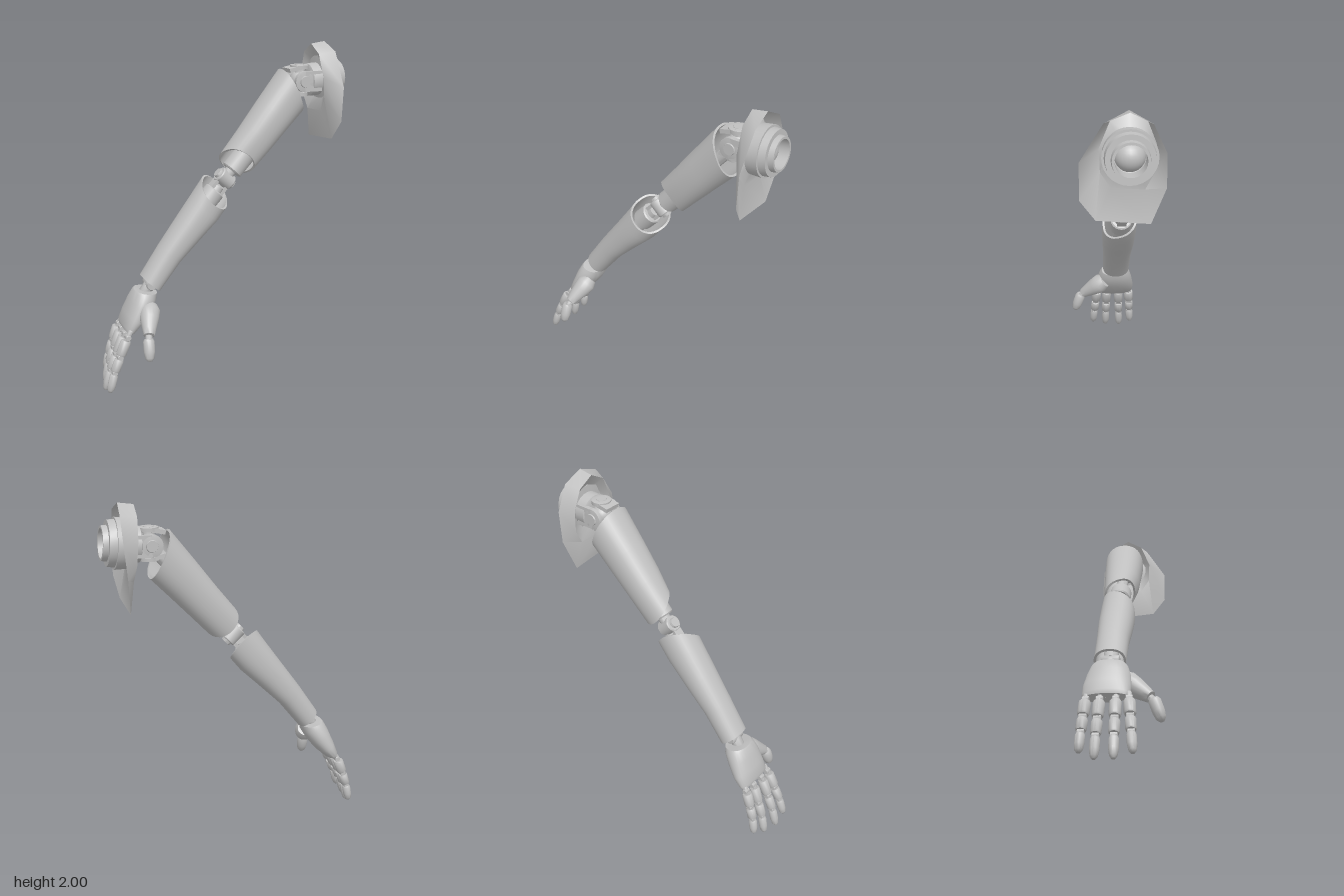
import * as THREE from 'three';
import { toCreasedNormals } from 'three/addons/utils/BufferGeometryUtils.js';

const V = (x, y, z) => new THREE.Vector3(x, y, z);
const Z = V(0, 0, 1);

export function createModel() {
  const grey = new THREE.MeshStandardMaterial({ color: 0xc0c0c0, side: THREE.DoubleSide });
  grey.name = 'lightGrey';
  const root = new THREE.Group();
  root.name = 'mechanicalArm';

  function add(name, geo, parent = root) {
    const mesh = new THREE.Mesh(geo, grey);
    mesh.name = name;
    parent.add(mesh);
    return mesh;
  }
  function group(name) {
    const g = new THREE.Group();
    g.name = name;
    root.add(g);
    return g;
  }

  // Turned part from A to B; profile is [radius, fraction of length]
  function turned(name, A, B, profile, parent, sides = 20) {
    const len = A.distanceTo(B);
    const pts = profile.map(([r, t]) => new THREE.Vector2(r, t * len));
    const mesh = add(name, toCreasedNormals(new THREE.LatheGeometry(pts, sides), 0.7), parent);
    mesh.position.copy(A);
    mesh.quaternion.setFromUnitVectors(V(0, 1, 0), B.clone().sub(A).normalize());
    return mesh;
  }
  const rod = (name, A, B, r, parent) =>
    turned(name, A, B, [[0, 0], [r * 0.88, 0], [r, 0.06], [r, 0.94], [r * 0.88, 1], [0, 1]], parent);
  const pin = (name, C, axis, r, len, parent) =>
    rod(name, C.clone().addScaledVector(axis, -len / 2), C.clone().addScaledVector(axis, len / 2), r, parent);

  // Surface through closed loops of points
  function loft(rings, wrap, crease) {
    const n = rings[0].length, index = [];
    const rows = wrap ? rings.length : rings.length - 1;
    for (let i = 0; i < rows; i++) for (let j = 0; j < n; j++) {
      const k = (i + 1) % rings.length, l = (j + 1) % n;
      const a = i * n + j, b = i * n + l, c = k * n + j, d = k * n + l;
      index.push(a, b, c, b, d, c);
    }
    const geo = new THREE.BufferGeometry().setFromPoints(rings.flat());
    geo.setIndex(index);
    return toCreasedNormals(geo, crease);
  }

  // Oval section: centre, half thickness a, half width b along z,
  // end slant k toward +z and m toward the outer side
  function section(d, [x, y, z, a, b, k = 0, m = 0], inset = 0, sides = 32) {
    const n = V(-d.y, d.x, 0);
    return Array.from({ length: sides }, (_, j) => {
      const t = j / sides * Math.PI * 2, c = Math.cos(t), s = Math.sin(t);
      const e = Math.pow(Math.abs(c) ** 2.3 + Math.abs(s) ** 2.3, -1 / 2.3);
      return V(x, y, z).addScaledVector(n, c * e * (a - inset))
        .addScaledVector(Z, s * e * (b - inset)).addScaledVector(d, k * s + m * c);
    });
  }
  function shell(name, d, stations) {
    const outer = stations.map(s => section(d, s));
    const inner = stations.map(s => section(d, s, 0.012)).reverse();
    return add(name, loft([...outer, ...inner], true, 0.7));
  }

  const d = V(0.68, 0.73, 0).normalize();
  const n = V(-d.y, d.x, 0);

  // Arm shells, cut back toward the front at the elbow
  shell('upperArmShell', d, [
    [0.108, 1.312, -0.063, 0.105, 0.092, 0.065],
    [0.22, 1.44, -0.062, 0.112, 0.109, 0.025],
    [0.33, 1.57, -0.067, 0.122, 0.118, 0, 0.02],
    [0.455, 1.715, -0.07, 0.133, 0.126, 0, 0.055],
  ]);
  shell('forearmShell', d, [
    [-0.455, 0.625, -0.053, 0.072, 0.086],
    [-0.33, 0.795, -0.053, 0.08, 0.089],
    [-0.2, 0.945, -0.053, 0.096, 0.099],
    [-0.1, 1.06, -0.053, 0.11, 0.102, -0.03],
    [-0.04, 1.14, -0.053, 0.113, 0.1, -0.065],
  ]);

  // Elbow hinge and inner rods
  const elbow = V(0.03, 1.215, -0.062), shoulder = V(0.51, 1.775, -0.065), wrist = V(-0.455, 0.625, -0.05);
  const elbowGroup = group('elbowJoint');
  pin('elbowBarrel', elbow, n, 0.048, 0.1, elbowGroup);
  pin('elbowPin', elbow, n, 0.03, 0.13, elbowGroup);
  for (const s of [-1, 1]) {
    const fork = add('elbowFork', new THREE.BoxGeometry(0.02, 0.12, 0.055), elbowGroup);
    fork.position.copy(elbow).addScaledVector(n, s * 0.036).addScaledVector(d, -0.06);
    fork.rotation.z = Math.atan2(d.y, d.x) - Math.PI / 2;
  }
  rod('upperArmRod', elbow, shoulder, 0.036);
  rod('upperArmSocket', elbow.clone().addScaledVector(d, 0.06), elbow.clone().addScaledVector(d, 0.2), 0.066);
  rod('forearmRod', wrist, elbow.clone().addScaledVector(d, -0.06), 0.04);
  rod('forearmSocket', elbow.clone().addScaledVector(d, -0.2), elbow.clone().addScaledVector(d, -0.09), 0.064);

  // Shoulder universal joint
  const joint = group('shoulderJoint');
  add('jointBall', new THREE.SphereGeometry(0.058, 24, 16), joint).position.copy(shoulder);
  pin('crossPin', shoulder, Z, 0.036, 0.19, joint);
  pin('uprightPin', shoulder, V(0, 1, 0), 0.032, 0.19, joint);
  for (const s of [-1, 1]) {
    const C = shoulder.clone().addScaledVector(Z, s * 0.075);
    pin('forkEye', C, Z, 0.062, 0.026, joint);
    add('forkCheek', new THREE.BoxGeometry(0.11, 0.12, 0.026), joint).position.copy(C).add(V(0.055, 0, 0));
    const U = shoulder.clone().add(V(0, s * 0.08, 0));
    pin('yokeEye', U, V(0, 1, 0), 0.056, 0.024, joint);
    const bar = add('yokeBar', new THREE.BoxGeometry(0.09, 0.024, 0.1), joint);
    bar.position.copy(U).add(V(-0.04, s > 0 ? -0.008 : 0.01, 0));
    bar.rotation.z = s * 0.2;
  }
  rod('forkBase', V(0.56, 1.775, -0.065), V(0.66, 1.78, -0.065), 0.098, joint);

  // Stepped hollow shoulder collar
  const collar = group('shoulderCollar');
  turned('collarTube', V(0, 0, 0), V(1, 0, 0), [
    [0.05, -0.06], [0.135, -0.05], [0.14, 0.02], [0.128, 0.02], [0.124, 0.06],
    [0.097, 0.06], [0.093, 0.09], [0.08, 0.09], [0.08, 0], [0, -0.03]], collar, 28);
  add('collarDome', new THREE.SphereGeometry(0.079, 24, 16), collar).position.x = -0.02;
  collar.position.set(0.68, 1.785, -0.058);
  collar.rotation.z = 0.07;

  // Flared shoulder plate, with a recessed throat around the collar
  const rim = [[0.67, 2, -0.058], [0.675, 1.95, 0.07], [0.672, 1.755, 0.19], [0.665, 1.555, 0.19],
    [0.648, 1.44, 0.11], [0.645, 1.415, -0.17], [0.665, 1.615, -0.243], [0.68, 1.8, -0.238], [0.68, 1.945, -0.17]];
  const hole = [[0.582, 1.988, -0.058], [0.585, 1.935, 0.035], [0.593, 1.8, 0.09], [0.604, 1.68, 0.085],
    [0.614, 1.6, 0.03], [0.614, 1.59, -0.14], [0.604, 1.68, -0.19], [0.593, 1.82, -0.195], [0.585, 1.935, -0.15]];
  const throat = hole.map(([, y, z]) => {
    const r = 0.11 / Math.hypot(y - 1.78, z + 0.058);
    return [0.64, 1.78 + (y - 1.78) * r, -0.058 + (z + 0.058) * r];
  });
  add('shoulderPlate', loft([rim, hole, throat].map(r => r.map(p => V(...p))), false, 0.75));

  // Wrist
  const wristGroup = group('wristJoint');
  pin('wristPin', wrist, Z, 0.034, 0.1, wristGroup);
  rod('wristRod', V(-0.5, 0.56, -0.05), V(-0.42, 0.665, -0.05), 0.036, wristGroup);

  // Palm, from knuckles up to wrist
  const p = V(0.59, 0.81, 0).normalize();
  add('palm', loft([
    [-0.618, 0.362, -0.052, 0.001, 0.001],
    [-0.618, 0.362, -0.052, 0.028, 0.112],
    [-0.608, 0.377, -0.052, 0.042, 0.122],
    [-0.571, 0.432, -0.052, 0.058, 0.124],
    [-0.53, 0.5, -0.048, 0.07, 0.116],
    [-0.495, 0.56, -0.048, 0.07, 0.1, 0, -0.015],
    [-0.487, 0.585, -0.048, 0.06, 0.087, 0, -0.03],
    [-0.487, 0.585, -0.048, 0.001, 0.001],
  ].map(s => section(p, s)), false, 0.8));

  // Thumb
  const thumb = group('thumb');
  turned('thumbBase', V(-0.48, 0.51, 0.015), V(-0.535, 0.385, 0.17),
    [[0, 0], [0.045, 0.02], [0.062, 0.2], [0.056, 0.45], [0.04, 0.8], [0.032, 0.97], [0, 1]], thumb);
  rod('thumbLink', V(-0.53, 0.4, 0.15), V(-0.546, 0.34, 0.2), 0.02, thumb);
  const tip = r => [[0, 0], [r * 0.8, 0], [r, 0.1], [r, 0.55], [r * 0.8, 0.84], [r * 0.4, 0.97], [0, 1]];
  turned('thumbTip', V(-0.542, 0.375, 0.182), V(-0.55, 0.25, 0.224), tip(0.033), thumb);

  // Fingers: root z, tip z, length scale, forward offset of the tip
  const fingers = { indexFinger: [0.065, 0.095, 0.93, -0.012], middleFinger: [0, 0.005, 1, -0.008],
    ringFinger: [-0.08, -0.09, 0.98, 0.012], littleFinger: [-0.15, -0.167, 0.87, 0.022] };
  for (const [name, [z0, z1, k, dx]] of Object.entries(fingers)) {
    const g = group(name);
    const at = (x, y) => {
      const t = (0.37 - y) / 0.36;
      return V(-0.622 + (x + 0.622) * k + dx * t, 0.37 + (y - 0.37) * k, z0 + (z1 - z0) * t);
    };
    const seg = r => [[0, 0], [r * 0.88, 0], [r, 0.08], [r, 0.9], [r * 0.86, 1], [0, 1]];
    const a = at(-0.645, 0.33), b = at(-0.683, 0.24), c = at(-0.692, 0.215), e = at(-0.722, 0.14);
    rod('knuckleLink', at(-0.61, 0.39), a, 0.014, g);
    pin('knucklePin', at(-0.633, 0.348), Z, 0.017, 0.036, g);
    turned('innerSegment', a, b, seg(0.031), g, 14);
    rod('middleLink', b, c, 0.015, g);
    pin('middlePin', b.clone().lerp(c, 0.5), Z, 0.018, 0.04, g);
    turned('middleSegment', c, e, seg(0.028), g, 14);
    rod('outerLink', e, at(-0.73, 0.115), 0.015, g);
    pin('outerPin', at(-0.725, 0.13), Z, 0.016, 0.036, g);
    turned('fingertip', at(-0.728, 0.122), at(-0.758, 0.004), tip(0.025), g, 14);
  }
  return root;
}
